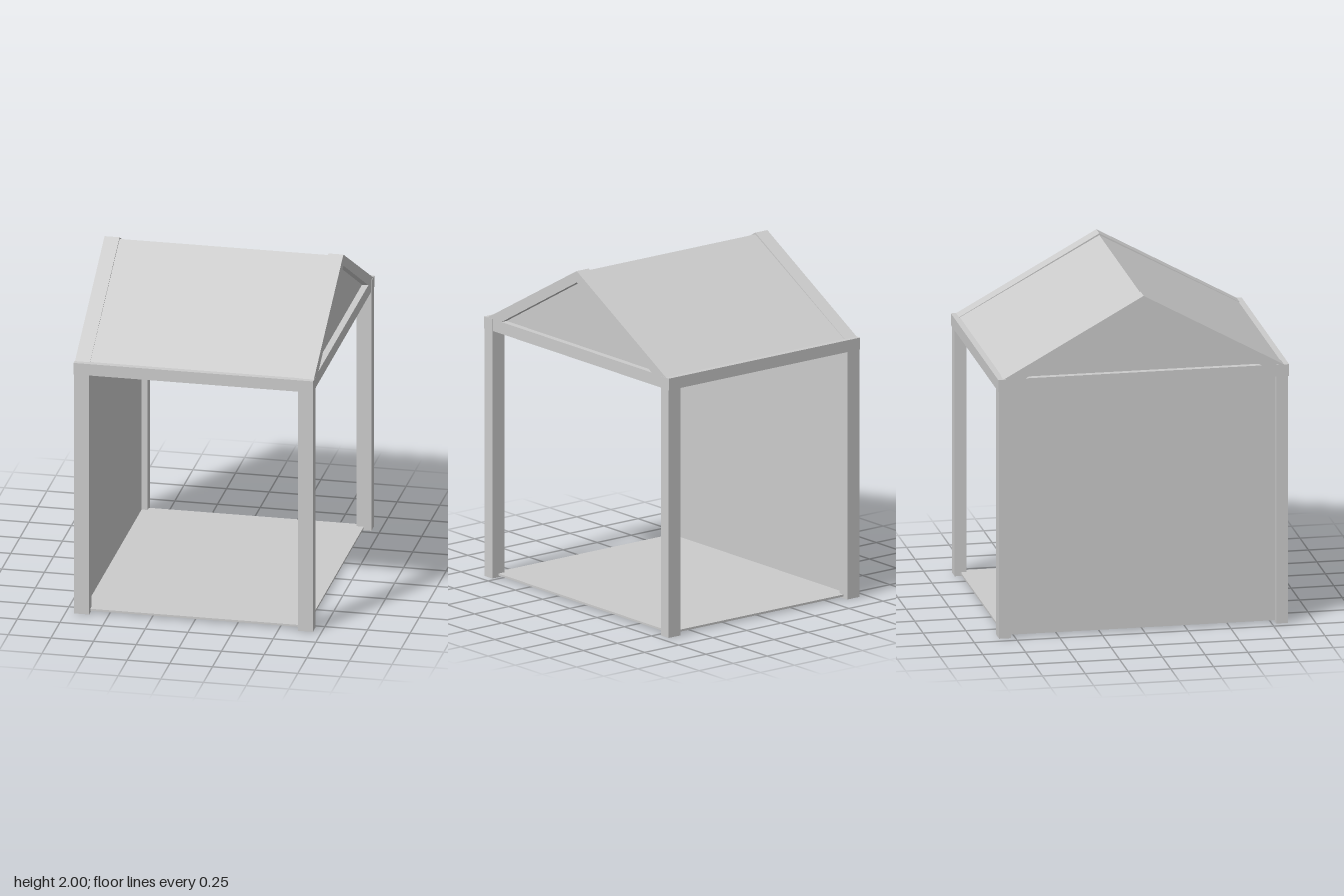
import * as THREE from 'three';

export function createModel() {
  const root = new THREE.Group();
  const material = new THREE.MeshStandardMaterial({ color: 0xcccccc, flatShading: true });

  const add = (name, geometry) => {
    const mesh = new THREE.Mesh(geometry, material);
    mesh.name = name;
    root.add(mesh);
    return mesh;
  };
  // Box given by its limits on each axis
  const box = (name, x0, x1, y0, y1, z0, z1) =>
    add(name, new THREE.BoxGeometry(x1 - x0, y1 - y0, z1 - z0)
      .translate((x0 + x1) / 2, (y0 + y1) / 2, (z0 + z1) / 2));

  const X = 0.7, Z = 0.845, XI = 0.612, ZI = 0.775;
  const BEAM = 1.475, EAVE = 1.545;

  // Shape in the z-y plane, extruded along x from x0 to x1
  const toShape = (pts) => new THREE.Shape(pts.map(([z, y]) => new THREE.Vector2(z, y)));
  const profile = (name, shape, x0, x1) => {
    const geometry = new THREE.ExtrudeGeometry(shape, { depth: x1 - x0, bevelEnabled: false });
    return add(name, geometry.rotateY(Math.PI / 2).translate(x0, 0, 0));
  };

  // Corner posts
  for (const sx of [-1, 1]) {
    for (const sz of [-1, 1]) {
      const post = box('cornerPost', XI, X, 0, EAVE, ZI, Z);
      post.geometry.translate(-(XI + X) / 2, 0, -(ZI + Z) / 2);
      post.position.set(sx * (XI + X) / 2, 0, sz * (ZI + Z) / 2);
    }
  }

  // Eave beams along front and back
  box('frontBeam', -0.702, 0.702, BEAM, EAVE, ZI, 0.85);
  box('backBeam', -0.702, 0.702, BEAM, EAVE, -0.85, -ZI);

  // Side beams, gable frames and recessed gable panels
  for (const s of [-1, 1]) {
    const x0 = s > 0 ? XI : -X, x1 = s > 0 ? X : -XI;
    box('sideBeam', x0, x1, BEAM, EAVE, -ZI, ZI);

    const frame = toShape([[-0.82, EAVE], [0.82, EAVE], [0, 2]]);
    frame.holes.push(new THREE.Path(
      [[-0.69, EAVE + 0.001], [0, 1.932], [0.69, EAVE + 0.001]].map(([z, y]) => new THREE.Vector2(z, y))));
    profile('gableFrame', frame, x0, x1);

    const panel = toShape([[-0.74, EAVE - 0.02], [0.74, EAVE - 0.02], [0, 1.96]]);
    profile('gablePanel', panel, s * 0.655 - 0.008, s * 0.655 + 0.008);
  }

  // Folded roof sheet, slightly below the ridge of the gable frames
  profile('roof', toShape([
    [-0.815, EAVE], [-0.77, EAVE], [0, 1.965], [0.77, EAVE], [0.815, EAVE], [0, 1.99],
  ]), -0.655, 0.655);

  // Floor, ceiling and the single closed side wall
  box('floor', -0.655, 0.655, 0.01, 0.022, -0.81, 0.81);
  box('ceiling', -0.655, 0.655, 1.515, 1.53, -0.81, 0.81);
  box('sideWall', -0.663, -0.647, 0.01, 1.5, -0.81, 0.81);

  return root;
}
